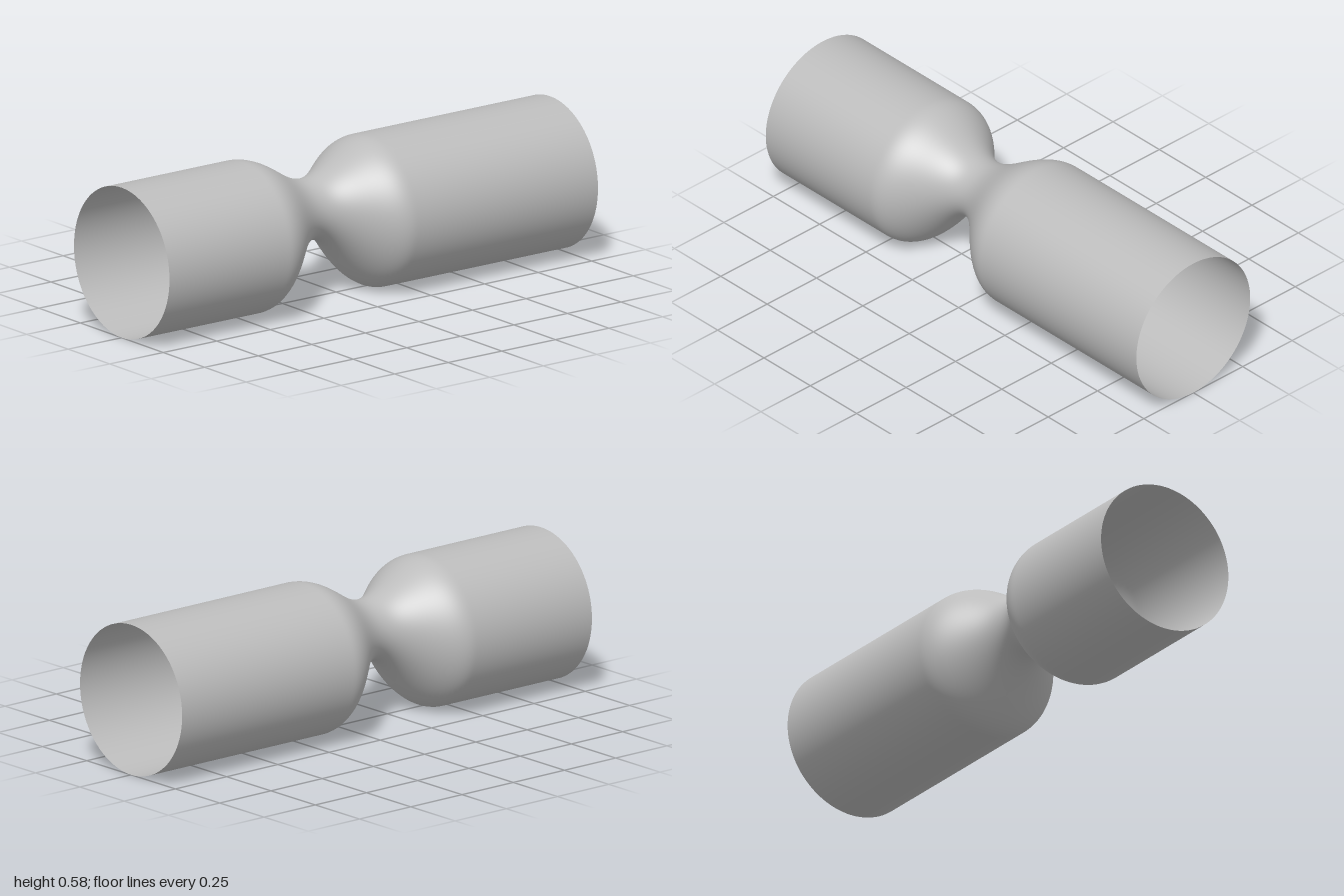
import * as THREE from 'three';
import { mergeVertices } from 'three/addons/utils/BufferGeometryUtils.js';

const RADIUS = 0.288, AXIS_Y = 0.288;
const THROAT_X = -0.14, THROAT_RADIUS = 0.116, THROAT_Y = 0.343, HALF_WIDTH = 0.295;

// How far the pipe is pinched at x: 0 on the straight runs, 1 at the throat
function pinch(x) {
  const t = Math.min(Math.abs(x - THROAT_X) / HALF_WIDTH, 1);
  return 0.5 + 0.5 * Math.cos(Math.PI * t);
}

export function createModel() {
  const group = new THREE.Group();
  group.name = 'constrictedPipe';

  const grey = new THREE.MeshStandardMaterial({ color: 0xbcbcbc, side: THREE.DoubleSide });
  grey.name = 'lightGrey';

  // Open pipe along x, narrowed and lifted off-centre around the throat
  let geometry = new THREE.CylinderGeometry(1, 1, 2, 96, 160, true);
  geometry.rotateZ(-Math.PI / 2);
  const p = geometry.attributes.position;
  for (let i = 0; i < p.count; i++) {
    const k = pinch(p.getX(i));
    const r = THREE.MathUtils.lerp(RADIUS, THROAT_RADIUS, k);
    const y = THREE.MathUtils.lerp(AXIS_Y, THROAT_Y, k);
    p.setXYZ(i, p.getX(i), y + p.getY(i) * r, p.getZ(i) * r);
  }

  // Weld the seam so the shading is smooth all round
  geometry.deleteAttribute('uv');
  geometry.deleteAttribute('normal');
  geometry = mergeVertices(geometry);
  geometry.computeVertexNormals();

  const pipe = new THREE.Mesh(geometry, grey);
  pipe.name = 'pipeWall';
  group.add(pipe);
  return group;
}
